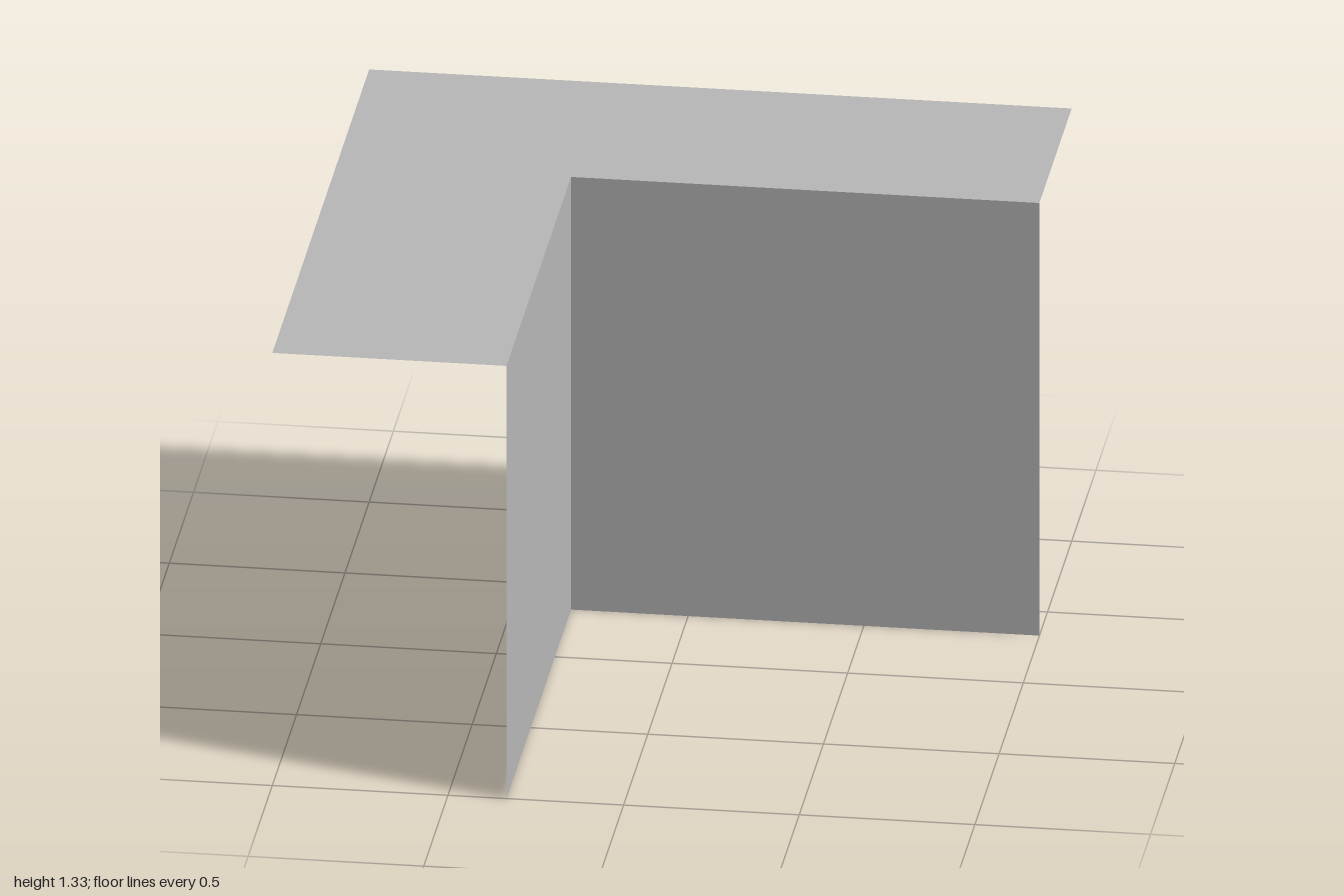
import * as THREE from 'three';

export function createModel() {
  const group = new THREE.Group();
  const grey = new THREE.MeshStandardMaterial({ color: 0xb8b8b8, side: THREE.DoubleSide });
  grey.name = 'grey';

  const inner = -1 / 3; // inner corner, where the two walls meet
  const height = 4 / 3;
  const span = 1 - inner;
  const middle = (1 + inner) / 2;

  const add = (name, geometry) => {
    const mesh = new THREE.Mesh(geometry, grey);
    mesh.name = name;
    group.add(mesh);
    return mesh;
  };

  // L-shaped ledge, drawn in x and -z, then laid flat
  const outline = new THREE.Shape(
    [[-1, -1], [inner, -1], [inner, -inner], [1, -inner], [1, 1], [-1, 1]]
      .map(([x, y]) => new THREE.Vector2(x, y))
  );
  const ledge = add('ledge', new THREE.ShapeGeometry(outline));
  ledge.rotation.x = -Math.PI / 2;
  ledge.position.y = height;

  // Two square walls hanging from the inner edges of the ledge
  const backWall = add('backWall', new THREE.PlaneGeometry(span, height));
  backWall.position.set(middle, height / 2, inner);

  const sideWall = add('sideWall', new THREE.PlaneGeometry(span, height));
  sideWall.rotation.y = Math.PI / 2;
  sideWall.position.set(inner, height / 2, middle);

  return group;
}
